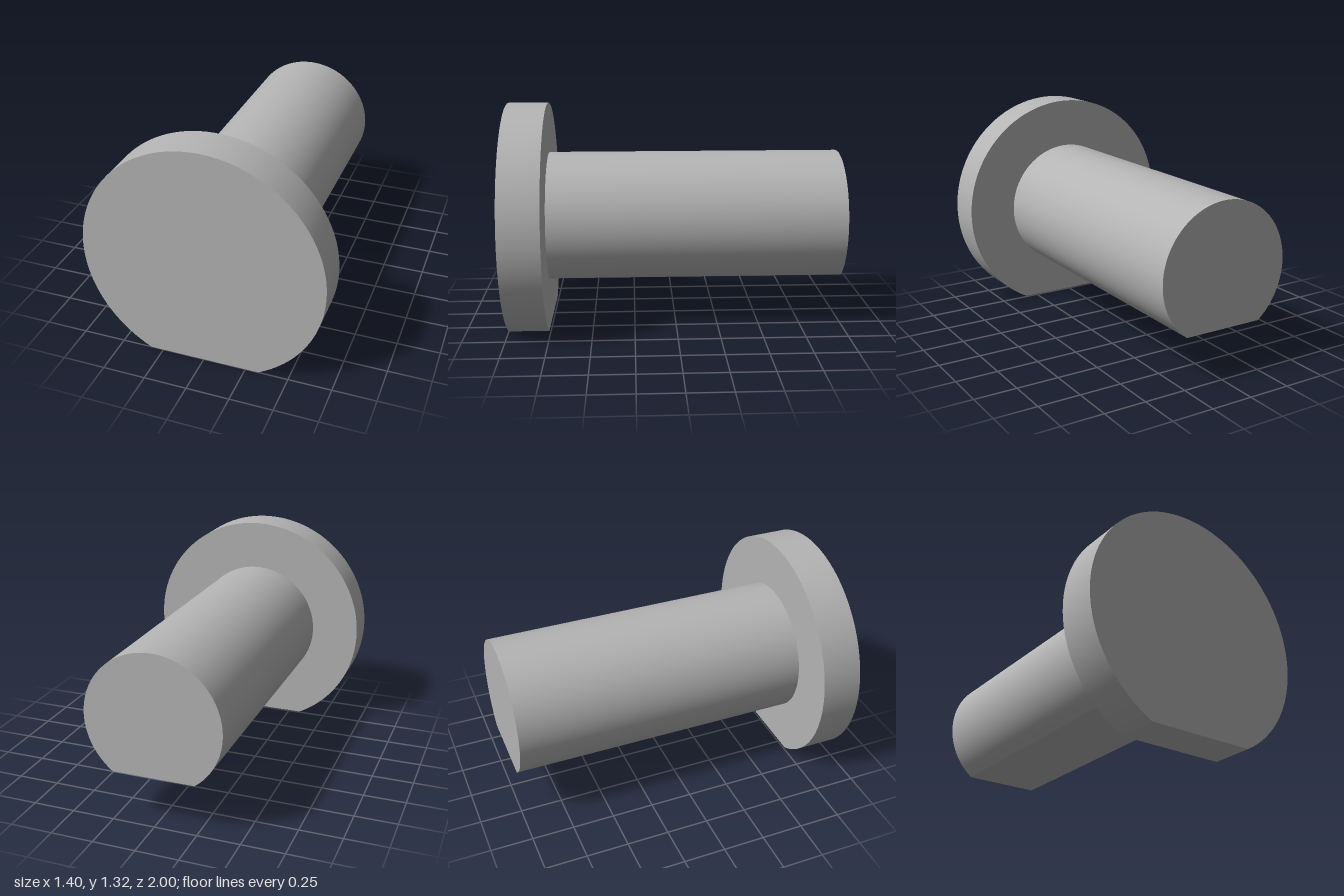
import * as THREE from 'three';
import { toCreasedNormals } from 'three/addons/utils/BufferGeometryUtils.js';

const AXIS_Y = 0.62;

// Round bar along z with a flat cut along its underside
function flattedBar(name, radius, flatDrop, zBack, zFront, material) {
  const a = Math.asin(flatDrop / radius);
  const shape = new THREE.Shape();
  shape.absarc(0, 0, radius, -a, Math.PI + a, false);
  const geometry = new THREE.ExtrudeGeometry(shape, {
    depth: zFront - zBack, bevelEnabled: false, curveSegments: 48,
  });
  const mesh = new THREE.Mesh(toCreasedNormals(geometry, 0.4), material);
  mesh.name = name;
  mesh.position.set(0, AXIS_Y, zBack);
  return mesh;
}

export function createModel() {
  const steel = new THREE.MeshStandardMaterial({ color: 0xb4b4b4 });
  steel.name = 'steel grey';

  const group = new THREE.Group();
  group.name = 'flattedPin';
  group.add(flattedBar('head', 0.7, 0.62, 0.76, 1, steel));
  group.add(flattedBar('shank', 0.4, 0.32, -1, 0.76, steel));
  return group;
}
